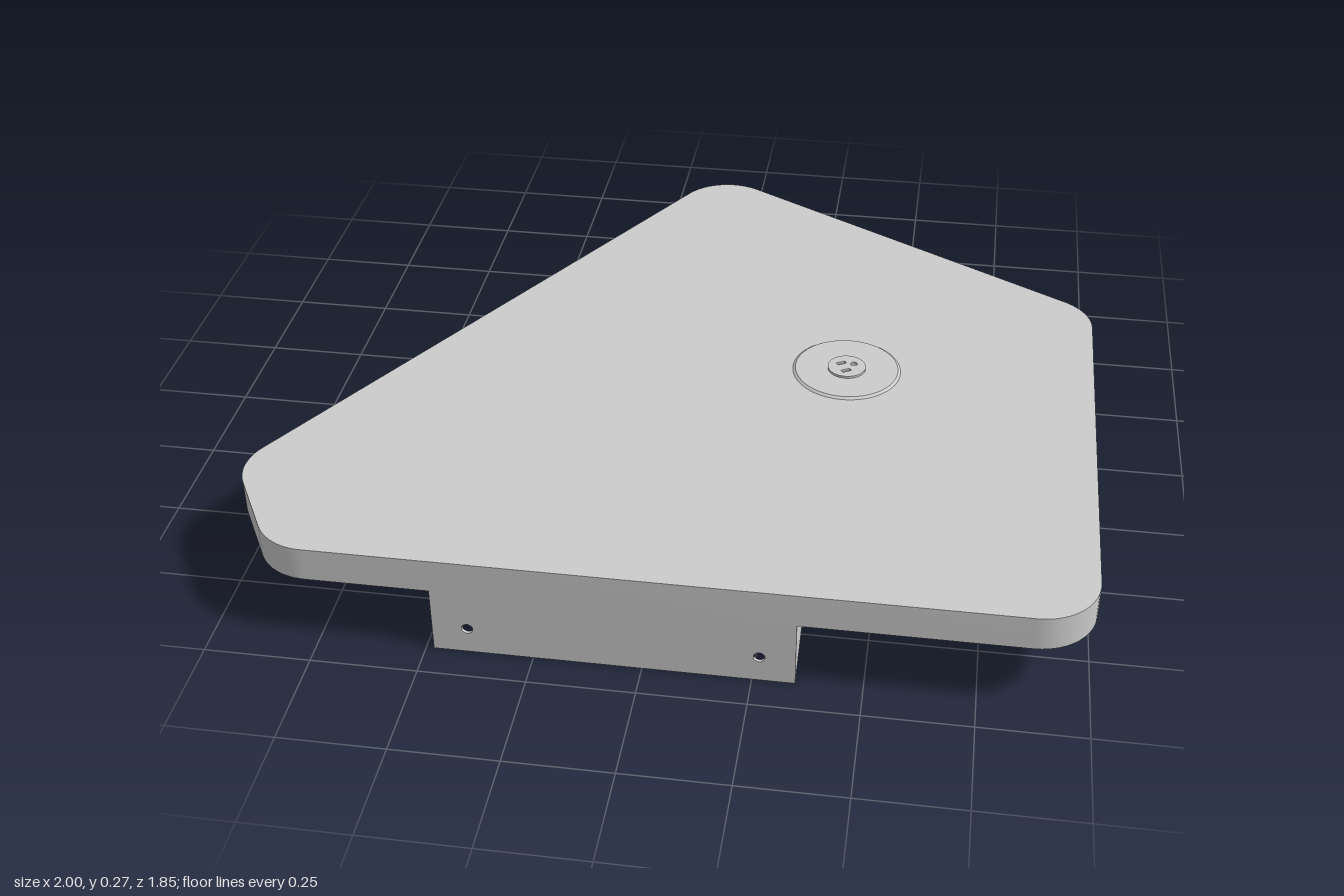
import * as THREE from 'three';
import { toCreasedNormals } from 'three/addons/utils/BufferGeometryUtils.js';

const material = new THREE.MeshStandardMaterial({ color: 0xcccccc });
const TOP = 0.255, UNDER = 0.17;      // faces of the table top
const SHEET = 0.008;                  // bracket sheet thickness
const WIDTH = 0.83, DEPTH = 0.33;     // bracket footprint

function part(name, geometry, parent) {
  const mesh = new THREE.Mesh(geometry, material);
  mesh.name = name;
  parent.add(mesh);
  return mesh;
}

const extrude = (shape, depth) =>
  toCreasedNormals(new THREE.ExtrudeGeometry(shape, { depth, bevelEnabled: false, curveSegments: 24 }), 0.5);

// Lays a plan outline drawn in (x, z) flat, with its upper face at y
const plate = (shape, y, depth) => extrude(shape, depth).rotateX(Math.PI / 2).translate(0, y, 0);

function circleHole(shape, x, y, r) {
  shape.holes.push(new THREE.Path().absarc(x, y, r, 0, Math.PI * 2, true));
}

function rectangle(x0, y0, x1, y1) {
  return new THREE.Shape([[x0, y0], [x1, y0], [x1, y1], [x0, y1]].map(p => new THREE.Vector2(...p)));
}

// Polygon with every corner rounded to a circular arc
function roundedPolygon(corners, radius, steps = 12) {
  const pts = corners.map(c => new THREE.Vector2(...c));
  const outline = [];
  pts.forEach((p, i) => {
    const a = pts[(i + pts.length - 1) % pts.length].clone().sub(p).normalize();
    const b = pts[(i + 1) % pts.length].clone().sub(p).normalize();
    const half = Math.acos(a.dot(b)) / 2;
    const centre = a.clone().add(b).normalize().multiplyScalar(radius / Math.sin(half)).add(p);
    const start = a.multiplyScalar(radius / Math.tan(half)).add(p).sub(centre);
    const end = b.multiplyScalar(radius / Math.tan(half)).add(p).sub(centre);
    const sweep = Math.atan2(start.cross(end), start.dot(end));
    for (let k = 0; k <= steps; k++) {
      outline.push(start.clone().rotateAround(new THREE.Vector2(), sweep * k / steps).add(centre));
    }
  });
  return new THREE.Shape(outline);
}

// Folded sheet bracket: outer wall at z = 0, reaching inward along -z
function createBracket(name) {
  const bracket = new THREE.Group();
  bracket.name = name;
  const h = WIDTH / 2;

  const wall = rectangle(-h, 0, h, UNDER);
  for (const s of [-1, 1]) circleHole(wall, s * (h - 0.082), 0.067, 0.013);
  part('bracketWall', extrude(wall, SHEET).translate(0, 0, -SHEET), bracket);

  const flange = rectangle(-h + SHEET, -DEPTH, h - SHEET, -SHEET);
  for (const s of [-1, 1]) circleHole(flange, s * 0.25, -0.09, 0.01);
  circleHole(flange, 0, -0.29, 0.01);
  part('bracketFlange', plate(flange, UNDER, SHEET), bracket);

  // Tapered end gussets
  const gusset = new THREE.Shape([[SHEET, 0.003], [DEPTH, 0.125], [DEPTH, UNDER], [SHEET, UNDER]]
    .map(p => new THREE.Vector2(...p)));
  for (const s of [-1, 1]) {
    const geometry = extrude(gusset, SHEET).rotateY(Math.PI / 2);
    geometry.translate(s > 0 ? h - SHEET : -h, 0, 0);
    part('bracketGusset', geometry, bracket);
  }
  return bracket;
}

// Power outlet set into the top, with its mounting clips below
function createOutlet() {
  const outlet = new THREE.Group();
  outlet.name = 'outlet';

  part('outletFlange', toCreasedNormals(new THREE.CylinderGeometry(0.13, 0.138, 0.006, 64), 0.5), outlet)
    .position.y = TOP + 0.002;

  const face = new THREE.Shape().absarc(0, 0, 0.048, 0, Math.PI * 2);
  circleHole(face, 0.0174, -0.01 - 0.002, 0.0085);
  for (const [x, z] of [[-0.015, -0.012], [0, 0.02]]) {
    const slot = [[-0.012, -0.005], [-0.012, 0.005], [0.012, 0.005], [0.012, -0.005]];
    face.holes.push(new THREE.Path(slot.map(p =>
      new THREE.Vector2(...p).rotateAround(new THREE.Vector2(), -Math.PI / 6).add(new THREE.Vector2(x, z)))));
  }
  part('socketFace', plate(face, TOP + 0.011, 0.008), outlet);

  for (const s of [-1, 1]) {
    const clip = part('mountingClip', new THREE.BoxGeometry(0.09, 0.04, 0.015), outlet);
    clip.position.set(s * 0.03, 0.155, s * 0.06);
    clip.rotation.y = Math.PI / 6;
  }
  outlet.position.set(0.378, 0, 0.016);
  return outlet;
}

export function createModel() {
  const model = new THREE.Group();
  model.name = 'wallTable';

  // Five-sided table top
  const outline = roundedPolygon(
    [[-0.085, -0.977], [1, -0.355], [1, 0.92], [-0.85, 0.92], [-1.02, 0.626]], 0.14);
  part('tableTop', plate(outline, TOP, TOP - UNDER), model);

  // Brackets along the front edge and the slanted edge
  const front = createBracket('frontBracket');
  front.position.set(-0.067, 0, 0.918);
  const side = createBracket('sideBracket');
  side.position.set(-0.624, 0, -0.05);
  side.rotation.y = -Math.PI * 2 / 3;
  model.add(front, side, createOutlet());
  return model;
}
